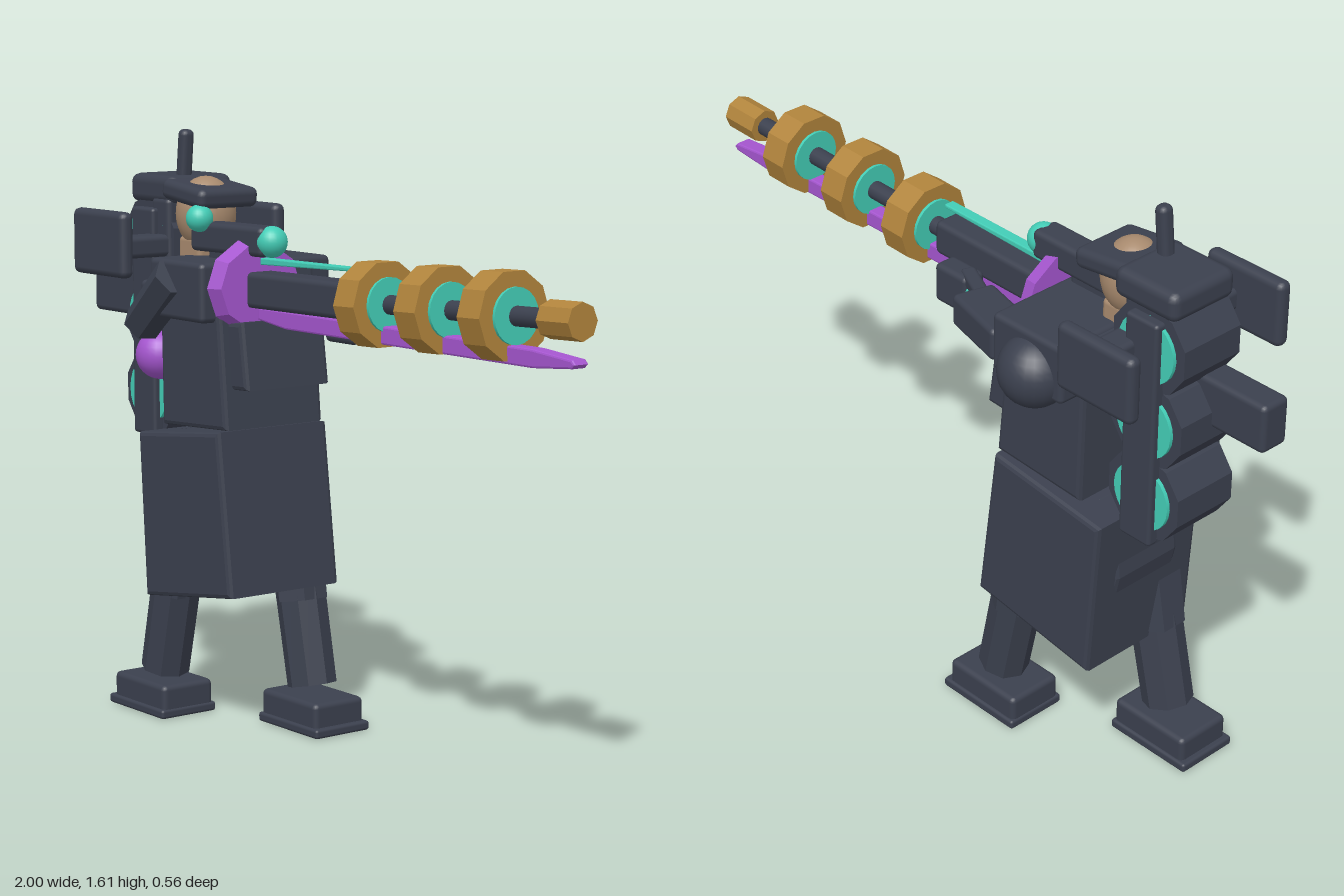
import * as THREE from 'three';
import { RoundedBoxGeometry } from 'three/addons/geometries/RoundedBoxGeometry.js';

const material = (name, color, flatShading = false) => {
  const m = new THREE.MeshStandardMaterial({ color, flatShading });
  m.name = name;
  return m;
};

export function createModel() {
  const model = new THREE.Group();
  model.name = 'rifleman';
  const dark = material('dark slate', 0x3b404e);
  const gold = material('brass', 0xb1843c);
  const teal = material('teal', 0x43cdb6);
  const purple = material('purple', 0xa556cf);
  const skin = material('skin', 0xa88a6e);

  const add = (name, geometry, mat, x = 0, y = 0, z = 0) => {
    const mesh = new THREE.Mesh(geometry, mat);
    mesh.name = name;
    mesh.position.set(x, y, z);
    model.add(mesh);
    return mesh;
  };
  // Softly edged box given by its limits on each axis
  const box = (name, [x0, x1], [y0, y1], [z0, z1], mat = dark, r = 0.015, tilt = 0) => {
    const size = [x1 - x0, y1 - y0, z1 - z0];
    const radius = Math.min(r, Math.min(...size) * 0.45);
    const mesh = add(name, new RoundedBoxGeometry(...size, 2, radius), mat,
      (x0 + x1) / 2, (y0 + y1) / 2, (z0 + z1) / 2);
    mesh.rotation.z = tilt;
    return mesh;
  };
  // Side outline extruded along z with a small bevel
  const slab = (name, points, z0, z1, mat = dark, bevel = 0.012) => {
    const shape = new THREE.Shape(points.map(p => new THREE.Vector2(...p)));
    const geometry = new THREE.ExtrudeGeometry(shape, {
      depth: z1 - z0 - 2 * bevel, bevelEnabled: true, bevelSize: bevel,
      bevelThickness: bevel, bevelOffset: -bevel, bevelSegments: 2,
    });
    return add(name, geometry, mat, 0, 0, z0 + bevel);
  };
  // Faceted rod between two points
  const rod = (name, a, b, r0, r1, sides, mat = dark) => {
    const from = new THREE.Vector3(...a), to = new THREE.Vector3(...b);
    const dir = to.clone().sub(from);
    const geometry = new THREE.CylinderGeometry(r1, r0, dir.length(), sides).toNonIndexed();
    if (sides < 16) geometry.computeVertexNormals();
    const mesh = add(name, geometry, mat);
    mesh.position.copy(from).add(to).multiplyScalar(0.5);
    mesh.quaternion.setFromUnitVectors(new THREE.Vector3(0, 1, 0), dir.normalize());
    return mesh;
  };
  const ball = (name, x, y, z, r, mat) => add(name, new THREE.SphereGeometry(r, 24, 16), mat, x, y, z);

  // Legs and boots: one stepping back, one forward
  for (const [side, footX, kneeX, z, dir] of [['rear', -0.65, -0.55, 0.11, -1], ['front', -0.24, -0.33, -0.095, 1]]) {
    rod(side + 'Leg', [footX, 0.115, z], [kneeX, 0.55, z], 0.068, 0.07, 8);
    const t = (0.34 - 0.115) / 0.435;
    rod(side + 'Thigh', [footX + (kneeX - footX) * t, 0.345, z], [kneeX, 0.6, z], 0.076, 0.08, 6);
    const c = side === 'rear' ? -0.66 : -0.24;
    box(side + 'Boot', [c - 0.123, c + 0.123], [0.012, 0.092], [z - 0.083, z + 0.083]);
    box(side + 'Sole', [c - 0.133 + dir * 0.006, c + 0.133 + dir * 0.006], [0, 0.026], [z - 0.091, z + 0.091], dark, 0.008);
  }

  // Coat and torso
  slab('coatSkirt', [[-0.625, 0.335], [-0.225, 0.39], [-0.28, 0.832], [-0.655, 0.79]], -0.175, 0.19);
  slab('coatTail', [[-0.60, 0.37], [-0.56, 0.4], [-0.57, 0.8], [-0.63, 0.78], [-0.65, 0.6]], -0.1, 0.12);
  slab('torso', [[-0.565, 0.82], [-0.27, 0.835], [-0.31, 1.27], [-0.575, 1.27]], -0.155, 0.17);
  slab('chestPouch', [[-0.32, 0.94], [-0.215, 0.945], [-0.24, 1.125], [-0.34, 1.12]], -0.137, 0.14);
  box('shoulderYoke', [-0.555, -0.312], [1.12, 1.28], [-0.215, 0.215]);

  // Far arm, reaching forward to the rifle
  ball('shoulderBall', -0.44, 1.165, -0.19, 0.095, dark);
  box('upperArm', [-0.32, -0.11], [1.125, 1.215], [-0.18, -0.06]).rotation.y = -0.25;
  const forearm = box('forearm', [-0.34, 0.01], [1.165, 1.2], [-0.115, -0.075], dark, 0.01);
  forearm.rotation.y = -0.45;
  forearm.position.set(-0.17, 1.185, -0.092);
  const stripe = box('forearmStripe', [-0.15, 0.15], [1.13, 1.165], [-0.02, 0.02], teal, 0.01);
  stripe.rotation.y = -0.45;
  stripe.position.set(-0.17, 1.15, -0.092);
  box('supportHand', [-0.05, 0.07], [1.085, 1.195], [-0.058, 0.01]);

  // Near arm, bent back to the grip
  rod('gripArm', [-0.455, 1.235, 0.2], [-0.63, 1.09, 0.19], 0.06, 0.055, 6);
  box('gripHand', [-0.655, -0.585], [1.09, 1.21], [0.08, 0.18]);

  // Head, hat and goggle
  const head = ball('head', -0.55, 1.39, 0.03, 0.09, skin);
  head.scale.set(0.92, 1.13, 0.92);
  box('neck', [-0.6, -0.5], [1.24, 1.33], [-0.03, 0.09], skin);
  box('hood', [-0.7, -0.615], [1.24, 1.43], [-0.07, 0.11]);
  box('hatCrown', [-0.81, -0.605], [1.41, 1.49], [-0.103, 0.108], dark, 0.025);
  box('hatBrim', [-0.64, -0.445], [1.418, 1.473], [-0.075, 0.12], dark, 0.02, -0.12);
  box('hatCrest', [-0.66, -0.622], [1.46, 1.615], [0.015, 0.055], dark, 0.016, -0.1);
  ball('goggle', -0.47, 1.385, 0.108, 0.037, teal);

  // Back drums with lit caps held by straps
  for (const y of [0.89, 1.1, 1.31]) {
    rod('backDrum', [-0.72, y, -0.09], [-0.72, y, 0.1], 0.122, 0.122, 10);
    rod('drumCap', [-0.72, y, -0.1], [-0.72, y, 0.11], 0.09, 0.09, 24, teal);
  }
  for (const z of [-0.1, 0.11]) {
    box('drumStrap', [-0.77, -0.665], [0.77, 1.4], [z - 0.018, z + 0.018], dark, 0.01);
  }
  ball('hipOrb', -0.645, 1.0, 0.12, 0.068, purple);
  for (const z of [-0.253, 0.257]) {
    box('shoulderShield', [-0.84, -0.59], [1.22, 1.4], [z - 0.021, z + 0.021], dark, 0.02);
  }
  // Rounded corners on the shields
  for (const z of [-0.253, 0.257]) {
    box('shieldBracket', [-0.7, -0.62], [1.27, 1.33], [Math.min(z, z * 0.3), Math.max(z, z * 0.3)]);
  }

  // Rifle body
  const gz = 0.06;
  box('stock', [-1, -0.68], [1.092, 1.225], [gz - 0.045, gz + 0.042]);
  box('receiver', [-0.72, 0.145], [1.16, 1.255], [gz - 0.048, gz + 0.045], dark, 0.015, 0.012);
  box('scope', [-0.53, -0.205], [1.295, 1.375], [gz - 0.04, gz + 0.04], dark, 0.015, 0.01);
  box('scopeMount', [-0.46, -0.33], [1.24, 1.31], [gz - 0.03, gz + 0.03]);
  ball('scopeLens', -0.208, 1.337, gz, 0.042, teal);
  slab('sightRail', [[-0.24, 1.275], [0.14, 1.287], [0.14, 1.297], [-0.24, 1.293]], gz - 0.015, gz + 0.015, teal, 0.003);
  slab('underBlade', [[-0.24, 1.13], [-0.12, 1.115], [0.85, 1.115], [0.99, 1.127], [1, 1.137], [0.99, 1.148], [0.85, 1.16], [-0.12, 1.163], [-0.24, 1.163]],
    gz - 0.021, gz + 0.025, purple, 0.005);

  // Oval hand guard
  const guard = rod('handGuard', [-0.3, 1.215, gz], [-0.257, 1.215, gz], 0.145, 0.13, 10, purple);
  guard.scale.set(0.88, 1, 1);

  // Barrel with coil rings and muzzle
  const barrelY = x => 1.205 + 0.032 * x;
  const along = (name, x0, x1, r, sides, mat) =>
    rod(name, [x0, barrelY(x0), gz], [x1, barrelY(x1), gz], r, r, sides, mat);
  along('barrel', 0.1, 0.93, 0.025, 16, dark);
  for (const x of [0.24, 0.48, 0.72]) {
    along('coilRing', x - 0.041, x + 0.041, 0.112, 10, gold);
    along('coilCore', x - 0.049, x + 0.049, 0.07, 20, teal);
  }
  along('muzzle', 0.888, 1, 0.047, 8, gold);

  return model;
}
